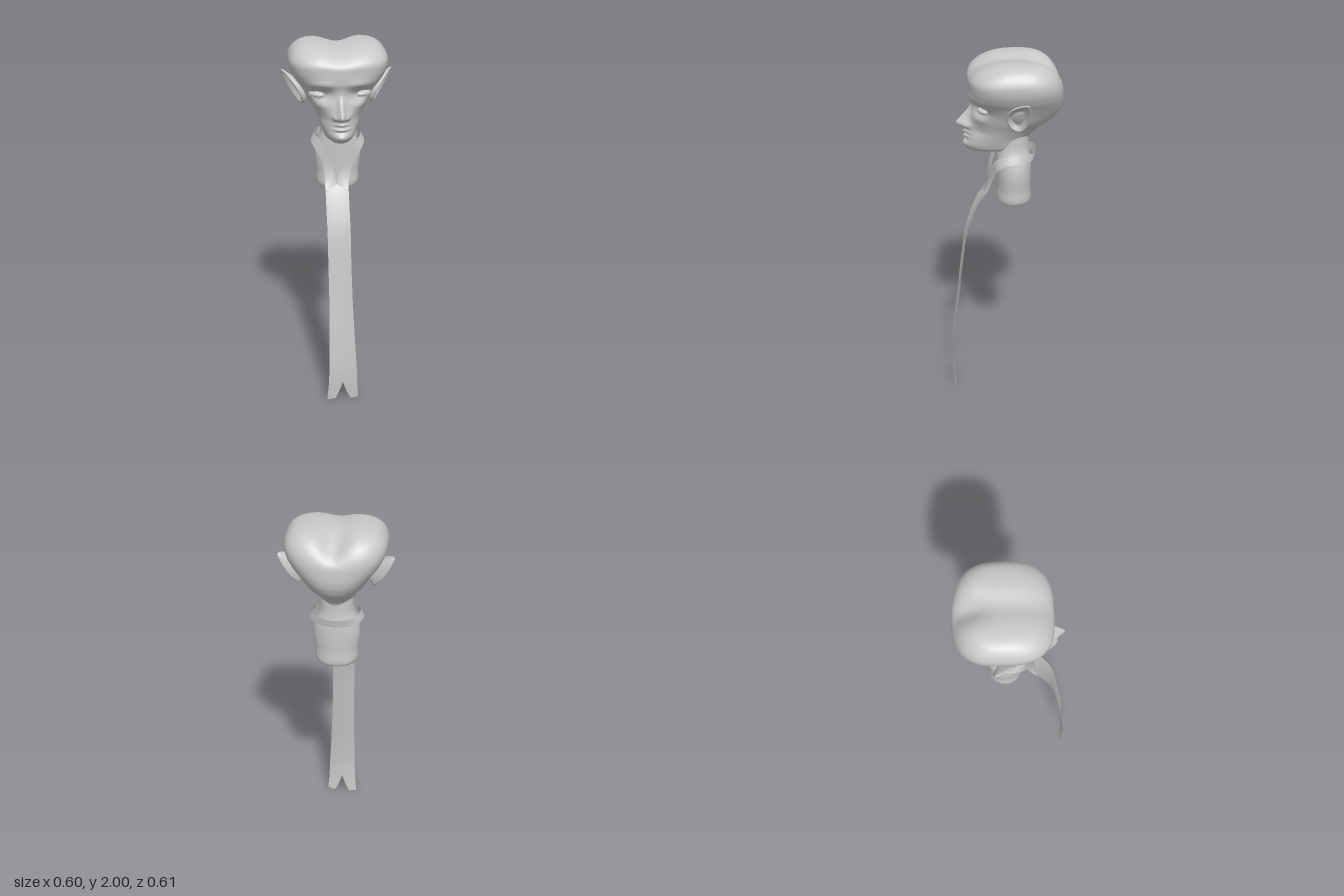
import * as THREE from 'three';

const skin = new THREE.MeshStandardMaterial({ color: 0xc8c8c8 });
skin.name = 'plain grey';
const cloth = new THREE.MeshStandardMaterial({ color: 0xc8c8c8, side: THREE.DoubleSide });
cloth.name = 'cloth grey';

const bell = (v, centre, width) => Math.exp(-(((v - centre) / width) ** 2));
const step = THREE.MathUtils.smoothstep;

// Smooth lookup through a table whose first column is the key
function table(rows) {
  const n = rows[0].length - 1;
  const c = new THREE.CubicInterpolant(rows.map(r => r[0]), rows.flatMap(r => r.slice(1)), n, new Float32Array(n));
  return t => Array.from(c.evaluate(t));
}

// Surface from a grid of points; point(i, j) returns [x, y, z]
function grid(rows, cols, closed, point, flip = false) {
  const pos = [], idx = [];
  const stride = closed ? cols : cols + 1;
  for (let i = 0; i <= rows; i++) for (let j = 0; j < stride; j++) pos.push(...point(i / rows, j / cols));
  for (let i = 0; i < rows; i++) for (let j = 0; j < cols; j++) {
    const k = (j + 1) % stride;
    const a = i * stride + j, b = i * stride + k, c = a + stride, d = b + stride;
    if (flip) idx.push(a, d, b, a, c, d);
    else idx.push(a, b, d, a, d, c);
  }
  const g = new THREE.BufferGeometry();
  g.setAttribute('position', new THREE.Float32BufferAttribute(pos, 3));
  g.setIndex(idx);
  g.computeVertexNormals();
  return g;
}

function add(group, name, geometry, material) {
  const m = new THREE.Mesh(geometry, material);
  m.name = name;
  group.add(m);
  return m;
}

// Horizontal rounded section: half width w, front zf, back zb, squareness n
function section(a, y, w, zf, zb, n) {
  const s = Math.sin(a), c = Math.cos(a);
  const r = (Math.abs(s) ** n + Math.abs(c) ** n) ** (-1 / n);
  return [w * r * s, y, (zf + zb) / 2 + (zf - zb) / 2 * r * c];
}

// Head sections: y, half width, front, back, squareness
const headRows = [
  [1.487, 0, 0.06, 0.06, 2], [1.488, 0.052, 0.175, -0.09, 2], [1.502, 0.076, 0.205, -0.12, 2],
  [1.53, 0.09, 0.218, -0.125, 2], [1.57, 0.104, 0.213, -0.135, 2], [1.62, 0.125, 0.203, -0.19, 2],
  [1.67, 0.155, 0.193, -0.26, 2.1], [1.72, 0.18, 0.185, -0.292, 2.3], [1.765, 0.207, 0.186, -0.303, 2.5],
  [1.81, 0.238, 0.197, -0.303, 2.7], [1.86, 0.26, 0.2, -0.297, 2.9], [1.91, 0.264, 0.195, -0.28, 3],
  [1.955, 0.242, 0.155, -0.25, 2.9], [1.985, 0.2, 0.09, -0.205, 2.7], [1.998, 0.115, 0.02, -0.145, 2.4],
  [2.0, 0, -0.07, -0.07, 2],
];
const headAt = table(headRows.map((r, i) => [i, ...r]));

// Nose relief: y, height, half width
const noseAt = table([
  [1.56, 0, 0.02], [1.6, 0.008, 0.02], [1.618, 0.022, 0.028], [1.632, 0.056, 0.031], [1.648, 0.066, 0.028],
  [1.67, 0.052, 0.022], [1.7, 0.03, 0.019], [1.74, 0.006, 0.02], [1.78, 0, 0.03],
]);

// Forward push of the face: nose, sockets, brows, cheeks, lips and chin
function face(x, y) {
  const ax = Math.abs(x);
  let d = 0;
  if (y > 1.56 && y < 1.78) {
    const [h, w] = noseAt(y);
    d += h * bell(x, 0, w);
  }
  d += 0.013 * bell(ax, 0.036, 0.012) * bell(y, 1.632, 0.015);
  d -= 0.03 * bell(ax, 0.1, 0.055) * bell(y, 1.748, 0.034);
  d += 0.008 * bell(ax, 0.1, 0.07) * bell(y, 1.805, 0.022);
  d += 0.012 * bell(ax, 0.115, 0.035) * bell(y, 1.69, 0.025);
  d -= 0.012 * bell(ax, 0.085, 0.03) * bell(y, 1.61, 0.035);
  d += bell(x, 0, 0.036) * (0.013 * bell(y, 1.597, 0.009) - 0.008 * bell(y, 1.584, 0.005)
    + 0.011 * bell(y, 1.572, 0.009) - 0.006 * bell(y, 1.556, 0.008));
  return d + 0.013 * bell(x, 0, 0.045) * bell(y, 1.528, 0.02);
}

function headGeometry() {
  return grid(150, 140, true, (v, u) => {
    const t = (u - 0.5) * 2 * Math.PI;
    const a = t - 0.5 * Math.sin(t);
    const p = section(a, ...headAt(v * (headRows.length - 1)));
    const [x, y, z] = p;
    p[2] += face(x, y) * step(z, 0.02, 0.11);
    // Groove between the two lobes of the crown, deeper toward the back
    p[1] -= (0.02 + 0.04 * step(-z, 0.06, 0.24)) * bell(x, 0, 0.075) * step(y, 1.82, 1.99);
    return p;
  });
}

// Ear outline (z, y) from the tip around the front
const earOutline = new THREE.CatmullRomCurve3([
  [-0.094, 1.827], [-0.03, 1.806], [0.003, 1.77], [0.01, 1.715], [-0.018, 1.662],
  [-0.06, 1.65], [-0.096, 1.7], [-0.106, 1.79],
].map(([z, y]) => new THREE.Vector3(0, y, z)), true);
// Ear thickness from back centre over the rim to the bowl: scale, outward offset
const earAt = table([
  [0, 0, -0.06], [1, 0.5, -0.045], [2, 0.86, -0.018], [3, 1, -0.003], [4, 0.94, 0.006],
  [5, 0.8, -0.002], [6, 0.55, -0.018], [7, 0.3, -0.014], [8, 0, -0.012],
]);

function earGeometry(side) {
  return grid(32, 48, true, (v, u) => {
    const p = earOutline.getPoint(u);
    const [k, out] = earAt(v * 8);
    const y = 1.735 + (p.y - 1.735) * k;
    const z = -0.048 + (p.z + 0.048) * k;
    const base = 0.165 + 0.5 * (y - 1.65);
    return [side * (base + out + 0.05 * (0.015 - z) / 0.12), y, z];
  }, side < 0);
}

// Neck sections: y, half width, front, back
const neckAt = table([
  [0, 1.185, 0, -0.045, -0.045], [1, 1.185, 0.106, 0.043, -0.133], [2, 1.27, 0.119, 0.047, -0.138],
  [3, 1.36, 0.127, 0.05, -0.14], [4, 1.43, 0.117, 0.053, -0.138], [5, 1.5, 0.094, 0.055, -0.128], [6, 1.6, 0.09, 0.055, -0.125],
]);

// Collar edges for one side, from the nape to the point of the V
const curve = pts => new THREE.CatmullRomCurve3(pts.map(p => new THREE.Vector3(...p)));
const collarTop = curve([
  [0, 1.485, -0.17], [0.075, 1.486, -0.15], [0.122, 1.487, -0.08], [0.125, 1.485, -0.01],
  [0.095, 1.455, 0.055], [0.05, 1.39, 0.085], [0.022, 1.31, 0.097], [0, 1.235, 0.112],
]);
const collarBottom = curve([
  [0, 1.44, -0.162], [0.085, 1.442, -0.14], [0.137, 1.446, -0.08], [0.145, 1.44, -0.005],
  [0.122, 1.405, 0.045], [0.085, 1.345, 0.07], [0.067, 1.27, 0.094], [0.063, 1.2, 0.135],
]);

// Stole by height: y, centre x, half width, z
const stoleAt = table([
  [0, 0, 0.089, 0.297], [0.1, 0, 0.081, 0.304], [0.2, 0, 0.077, 0.305], [0.4, -0.004, 0.07, 0.289],
  [0.6, -0.008, 0.065, 0.266], [0.8, -0.012, 0.063, 0.243], [1, -0.014, 0.063, 0.212],
  [1.1, -0.016, 0.063, 0.18], [1.2, -0.017, 0.063, 0.135], [1.24, -0.017, 0.063, 0.11],
]);

export function createModel() {
  const model = new THREE.Group();
  model.name = 'bust';
  add(model, 'head', headGeometry(), skin);
  add(model, 'neck', grid(36, 48, true, (v, u) => section(u * 2 * Math.PI, ...neckAt(v * 6), 2.1)), skin);

  for (const side of [1, -1]) {
    const label = side > 0 ? 'left' : 'right';
    add(model, label + 'Ear', earGeometry(side), skin);

    // Eye with a lid rim
    const eye = new THREE.Group();
    eye.name = label + 'Eye';
    add(eye, 'eyeball', new THREE.SphereGeometry(1, 28, 18).scale(0.042, 0.016, 0.02), skin);
    add(eye, 'eyelid', new THREE.TorusGeometry(1, 0.1, 10, 36).scale(0.043, 0.018, 0.05), skin);
    eye.position.set(side * 0.125, 1.745, 0.131);
    eye.rotation.set(0, side * 0.5, side * 0.04);
    model.add(eye);

    add(model, label + 'Collar', grid(48, 6, false, (v, u) => {
      const p = collarTop.getPoint(v).lerp(collarBottom.getPoint(v), u);
      return [side * p.x - 0.017 * step(v, 0.5, 1), p.y, p.z];
    }), cloth);
  }

  // Hanging stole with a notched hem
  add(model, 'stole', grid(60, 32, false, (v, u) => {
    const s = u * 2 - 1, a = Math.abs(s);
    const hem = 0.11 * Math.max(0, 1 - a / 0.5) ** 1.2 + 0.012 * a ** 4 * (s > 0 ? 1 : 0);
    const y = THREE.MathUtils.lerp(hem, 1.235 - 0.035 * a, v);
    const [x, w, z] = stoleAt(y);
    return [x + w * s, y, z + 0.007 * s * s - 0.003];
  }), cloth);
  return model;
}
